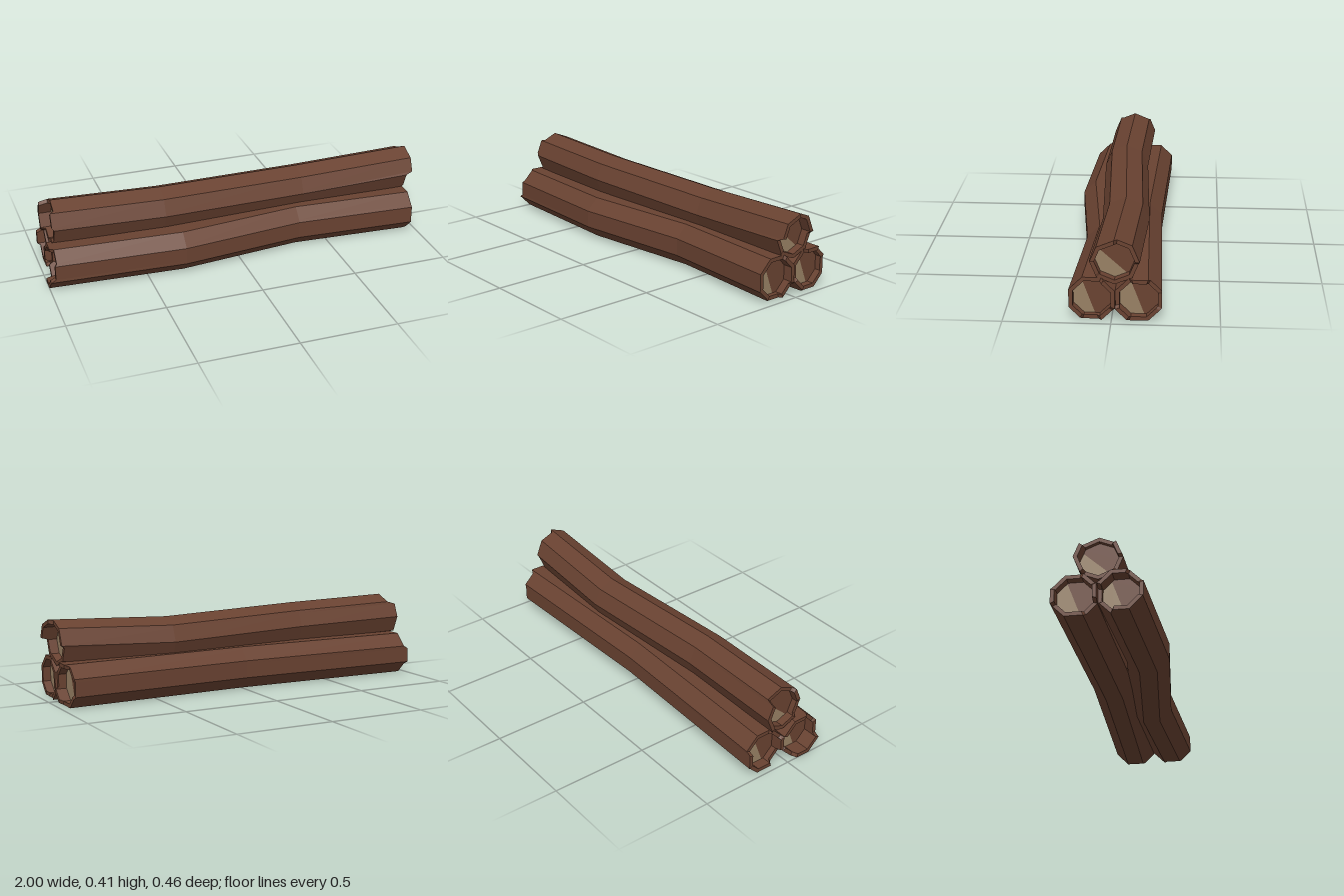
import * as THREE from 'three';

const bark = new THREE.MeshStandardMaterial({ color: 0x694231, flatShading: true });
bark.name = 'bark brown';
const wood = new THREE.MeshStandardMaterial({ color: 0x978064, flatShading: true });
wood.name = 'cut wood tan';

const R = 0.1153;      // corner radius of the octagon
const INNER = 0.82;    // hollow end, relative to the outside
const CAP = 0.92;      // x of the recessed end faces
const STEP = 0.16;     // where a splinter step starts along a side

// Octagon corners as [z, y] offsets
function octagon(turn, scale = 1) {
  return Array.from({ length: 8 }, (_, k) => {
    const a = turn + (k * Math.PI) / 4;
    return [R * scale * Math.cos(a), R * scale * Math.sin(a)];
  });
}

// Two points per side: the corner and a point just past it
function outline(turn) {
  const c = octagon(turn);
  return c.flatMap((p, k) => {
    const q = c[(k + 1) % 8];
    return [p, [p[0] + (q[0] - p[0]) * STEP, p[1] + (q[1] - p[1]) * STEP]];
  });
}

function meshFrom(positions, material, name) {
  const g = new THREE.BufferGeometry();
  g.setAttribute('position', new THREE.Float32BufferAttribute(positions, 3));
  g.computeVertexNormals();
  const mesh = new THREE.Mesh(g, material);
  mesh.name = name;
  return mesh;
}

// Keep the part of a polygon on one side of the line through a and b
function clip(poly, a, b, sign) {
  const dist = (p) => sign * ((b[0] - a[0]) * (p[1] - a[1]) - (b[1] - a[1]) * (p[0] - a[0]));
  const out = [];
  poly.forEach((p, i) => {
    const q = poly[(i + 1) % poly.length];
    const dp = dist(p), dq = dist(q);
    if (dp >= 0) out.push(p);
    if (dp * dq < 0) {
      const t = dp / (dp - dq);
      out.push([p[0] + (q[0] - p[0]) * t, p[1] + (q[1] - p[1]) * t]);
    }
  });
  return out;
}

// Flat end face, as a fan
function face(poly, x, cz, cy, material, name) {
  const pos = [];
  const put = (p) => pos.push(x, cy + p[1], cz + p[0]);
  for (let i = 1; i < poly.length - 1; i++) {
    const tri = [poly[0], poly[i], poly[i + 1]];
    if (x > 0) tri.reverse();
    tri.forEach(put);
  }
  return meshFrom(pos, material, name);
}

// path: [x, z, y] centres; leftEnds/rightEnds: x of each side's ragged edge
function makeLog({ name, turn, path, rightEnds, leftEnds, split }) {
  const log = new THREE.Group();
  log.name = name;
  const pts = outline(turn);
  const n = pts.length;
  const ring = (c, scale, xOf) =>
    pts.map((p, i) => [xOf(i), c[2] + p[1] * scale, c[1] + p[0] * scale]);
  // A corner ends with the side before it, the next point with its own side
  const ragged = (ends) => (i) => ends[(i % 2 ? (i - 1) / 2 : i / 2 + 7) % 8];
  const first = path[0], last = path[path.length - 1];

  const rings = [
    ring(first, INNER, () => -CAP),
    ring(first, INNER, ragged(leftEnds)),
    ring(first, 1, ragged(leftEnds)),
    ...path.slice(1, -1).map((c) => ring(c, 1, () => c[0])),
    ring(last, 1, ragged(rightEnds)),
    ring(last, INNER, ragged(rightEnds)),
    ring(last, INNER, () => CAP),
  ];
  const pos = [];
  for (let r = 0; r < rings.length - 1; r++) {
    for (let i = 0; i < n; i++) {
      const j = (i + 1) % n;
      const a = rings[r][i], b = rings[r + 1][i], c = rings[r + 1][j], d = rings[r][j];
      pos.push(...a, ...b, ...c, ...a, ...c, ...d);
    }
  }
  log.add(meshFrom(pos, bark, 'barkShell'));

  // End faces, part bare wood and part bark brown
  const inner = octagon(turn, INNER);
  for (const [x, c] of [[CAP, last], [-CAP, first]]) {
    const s = Math.sign(x);
    const [a, b] = split.map((p) => [p[0] * s, p[1]]);
    log.add(face(clip(inner, a, b, s), x, c[1], c[2], wood, 'bareWood'));
    log.add(face(clip(inner, a, b, -s), x, c[1], c[2], bark, 'darkWood'));
  }
  return log;
}

export function createModel() {
  const group = new THREE.Group();
  group.name = 'logPile';
  const flat = Math.PI / 8;

  group.add(makeLog({
    name: 'frontLog', turn: flat,
    path: [[-0.97, 0.09, 0.1065], [-0.31, 0.125, 0.1065], [0.33, 0.055, 0.1065], [0.96, 0.09, 0.1065]],
    rightEnds: [0.96, 0.96, 0.97, 0.97, 0.96, 0.945, 0.96, 0.96],
    leftEnds: [-0.965, -0.985, -0.985, -0.95, -0.97, -1.0, -1.0, -0.975],
    split: [[0.05, 0.085], [-0.005, -0.067]],
  }));
  group.add(makeLog({
    name: 'backLog', turn: flat,
    path: [[-0.97, -0.125, 0.1065], [0, -0.095, 0.1065], [0.95, -0.125, 0.1065]],
    rightEnds: [0.96, 0.98, 0.955, 0.95, 0.955, 0.955, 0.975, 0.96],
    leftEnds: [-0.97, -0.96, -0.96, -0.985, -0.97, -0.97, -0.95, -0.985],
    split: [[0.04, 0.085], [-0.02, -0.075]],
  }));
  group.add(makeLog({
    name: 'topLog', turn: 0,
    path: [[-0.96, -0.015, 0.297], [-0.38, 0.002, 0.286], [0.38, -0.036, 0.271], [0.98, -0.015, 0.297]],
    rightEnds: [1.0, 1.0, 0.975, 0.975, 0.96, 0.96, 0.96, 0.965],
    leftEnds: [-0.96, -0.94, -0.94, -0.985, -0.985, -0.96, -0.96, -0.95],
    split: [[0.073, 0.043], [-0.037, -0.057]],
  }));
  return group;
}
